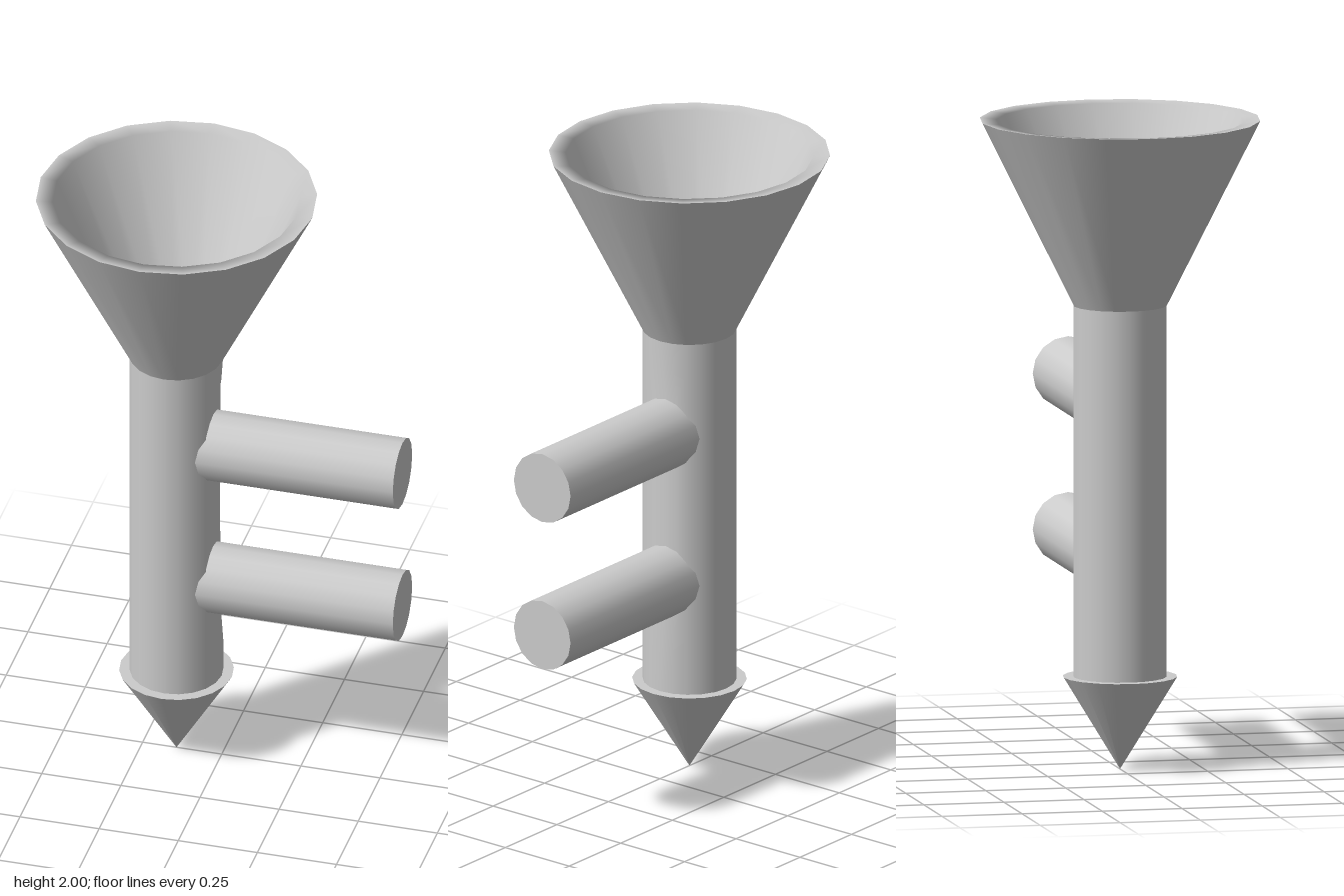
import * as THREE from 'three';

const AXIS = -0.143;   // x of the upright axis
const SIDES = 20;
const material = new THREE.MeshStandardMaterial({ color: 0xcccccc });

function addPart(parent, name, geometry, x = 0, y = 0) {
  const mesh = new THREE.Mesh(geometry, material);
  mesh.name = name;
  mesh.position.set(x, y, 0);
  parent.add(mesh);
  return mesh;
}

const lathe = (points) =>
  new THREE.LatheGeometry(points.map(([r, y]) => new THREE.Vector2(r, y)), SIDES);

// Upright post, slightly flattened on the side that carries the rods
function stemGeometry() {
  const bottom = 0.286, top = 1.43;
  const geometry = new THREE.CylinderGeometry(0.143, 0.143, top - bottom, SIDES, 12);
  geometry.translate(0, (top + bottom) / 2, 0);
  const p = geometry.attributes.position;
  for (let i = 0; i < p.count; i++) {
    const y = p.getY(i);
    const dent = Math.min(1, (y - bottom) / 0.4, (top - y) / 0.2);
    p.setX(i, Math.min(p.getX(i), 0.143 - 0.028 * dent));
  }
  geometry.computeBoundingSphere();
  return geometry;
}

export function createModel() {
  const model = new THREE.Group();
  model.name = 'funnelPost';

  // Pointed foot with a flat collar on top
  addPart(model, 'spike', lathe([[0, 0], [0.175, 0.286]]), AXIS);
  const collar = new THREE.CircleGeometry(0.175, SIDES).rotateX(-Math.PI / 2);
  addPart(model, 'spikeCollar', collar, AXIS, 0.286);

  addPart(model, 'stem', stemGeometry(), AXIS);

  // Hollow funnel: outer wall, then rim and inner wall
  const funnel = new THREE.Group();
  funnel.name = 'funnel';
  funnel.position.x = AXIS;
  model.add(funnel);
  addPart(funnel, 'funnelOuterWall', lathe([[0.143, 1.428], [0.429, 2]]));
  addPart(funnel, 'funnelInnerWall', lathe([[0.429, 2], [0.378, 1.995], [0.14, 1.43]]));

  // Two side rods, starting inside the stem
  const rodStart = AXIS + 0.05, rodEnd = 0.571;
  for (const [name, y] of [['upperRod', 1.12], ['lowerRod', 0.64]]) {
    const rod = new THREE.CylinderGeometry(0.111, 0.111, rodEnd - rodStart, 16);
    rod.rotateZ(-Math.PI / 2);
    addPart(model, name, rod, (rodStart + rodEnd) / 2, y);
  }
  return model;
}
